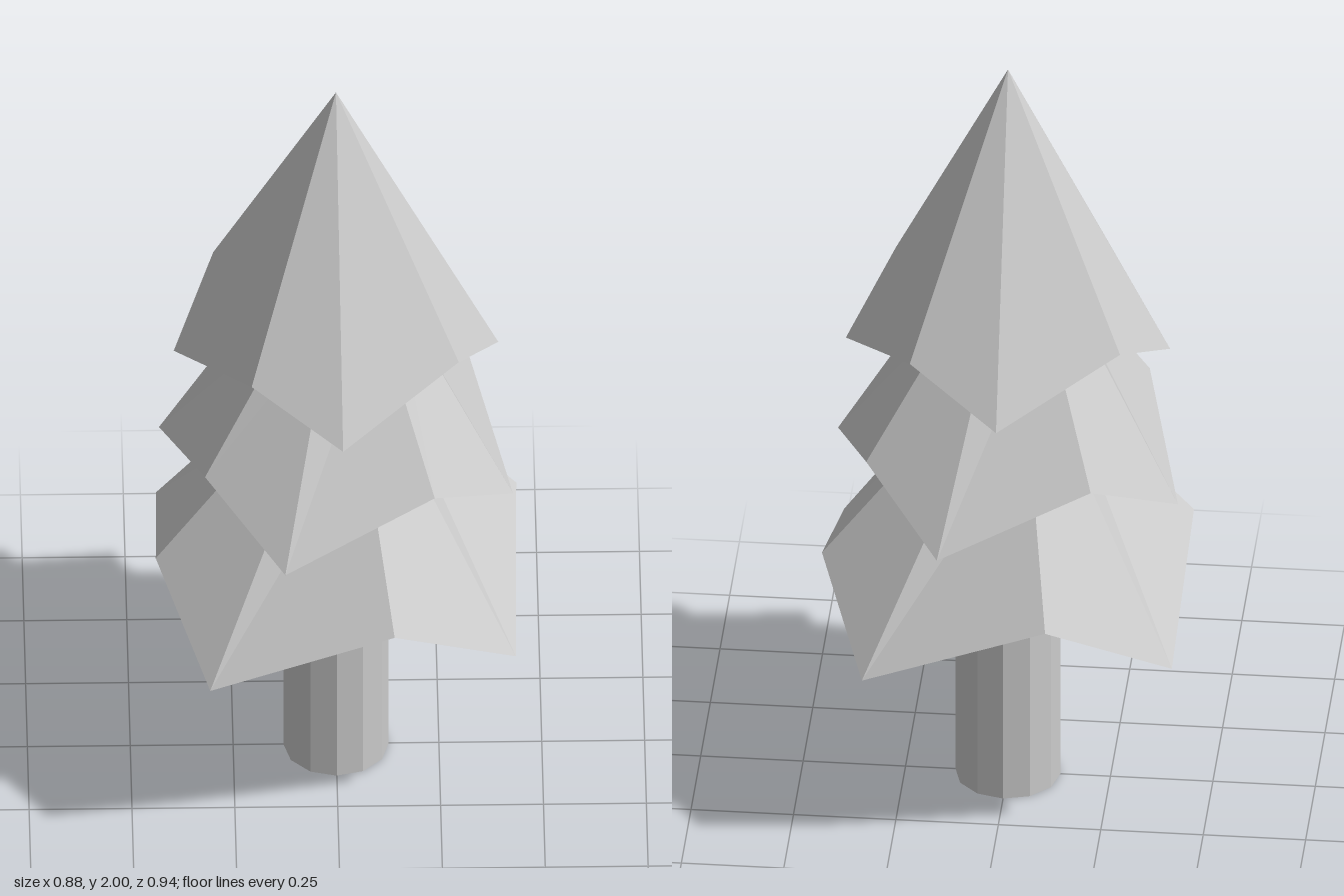
import * as THREE from 'three';

const SIDES = 8;
const material = new THREE.MeshStandardMaterial({ color: 0xcccccc, flatShading: true });

// Eight points, alternating between drooping tips and raised notches, twisted by `turn` degrees.
function ring({ turn, tipR, tipY, notchR = tipR, notchY = tipY }) {
  return Array.from({ length: SIDES }, (_, i) => {
    const tip = i % 2 === 0;
    const a = THREE.MathUtils.degToRad(turn + Math.floor(i / 2) * 90 + (tip ? 0 : 53));
    const r = tip ? tipR : notchR;
    return [Math.sin(a) * r * 0.94, tip ? tipY : notchY, Math.cos(a) * r];
  });
}

// Skin neighbouring rings, ordered from the underside up to the top.
function loft(rings) {
  const positions = [];
  for (let k = 0; k < rings.length - 1; k++) {
    const lower = rings[k], upper = rings[k + 1];
    for (let i = 0; i < SIDES; i++) {
      const j = (i + 1) % SIDES;
      positions.push(...lower[i], ...lower[j], ...upper[j]);
      positions.push(...lower[i], ...upper[j], ...upper[i]);
    }
  }
  const geometry = new THREE.BufferGeometry();
  geometry.setAttribute('position', new THREE.Float32BufferAttribute(positions, 3));
  geometry.computeVertexNormals();
  return geometry;
}

export function createModel() {
  const group = new THREE.Group();
  const add = (name, geometry) => {
    const mesh = new THREE.Mesh(geometry, material);
    mesh.name = name;
    group.add(mesh);
    return mesh;
  };

  // Trunk
  add('trunk', new THREE.CylinderGeometry(0.128, 0.128, 0.9, 12)).position.y = 0.45;

  // Narrow waists where the branch tiers meet, and the pointed ends
  const base = ring({ turn: -36, tipR: 0, tipY: 0.85 });
  const lowerWaist = ring({ turn: -27, tipR: 0.155, tipY: 1.06 });
  const upperWaist = ring({ turn: -8, tipR: 0.15, tipY: 1.4 });
  const peak = ring({ turn: 1.5, tipR: 0, tipY: 2 });

  // Jagged rims
  const lowerRim = ring({ turn: -36, tipR: 0.567, tipY: 0.52, notchR: 0.49, notchY: 0.685 });
  const middleRim = ring({ turn: -17, tipR: 0.476, tipY: 0.87, notchR: 0.424, notchY: 1.015 });
  const upperRim = ring({ turn: 1.5, tipR: 0.42, tipY: 1.22, notchR: 0.385, notchY: 1.34 });

  // Branch tiers
  add('lowerBranches', loft([base, lowerRim, lowerWaist]));
  add('middleBranches', loft([lowerWaist, middleRim, upperWaist]));
  add('upperBranches', loft([upperWaist, upperRim, peak]));
  return group;
}
